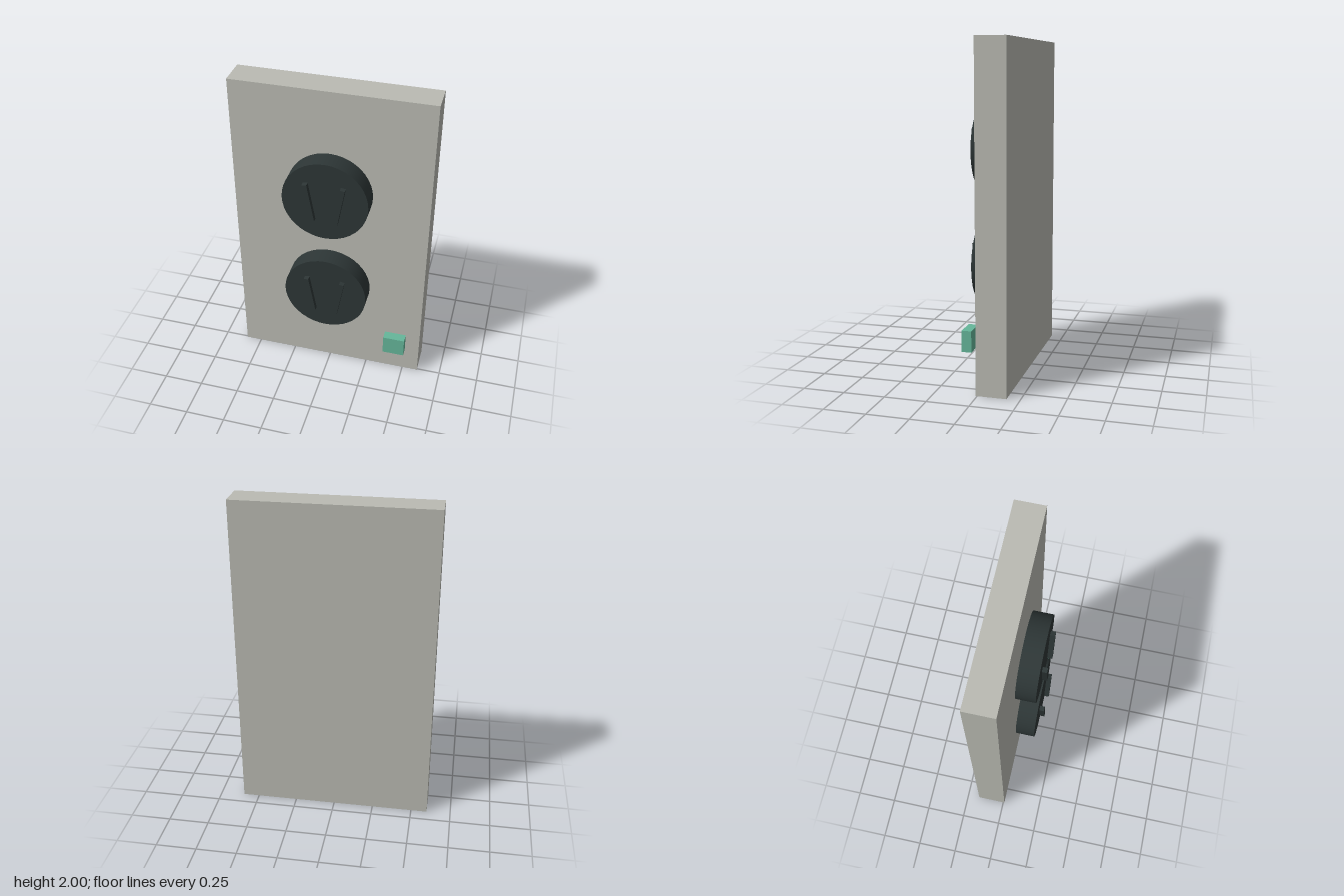
import * as THREE from 'three';

export function createModel() {
  const plateGrey = new THREE.MeshStandardMaterial({ color: 0xbabbb3 });
  plateGrey.name = 'plate grey';
  const darkSlate = new THREE.MeshStandardMaterial({ color: 0x2d3636 });
  darkSlate.name = 'dark slate';
  const lampGreen = new THREE.MeshStandardMaterial({ color: 0x65b69a });
  lampGreen.name = 'lamp green';

  const model = new THREE.Group();
  model.name = 'wallSocket';

  const add = (parent, name, geometry, material, x, y, z) => {
    const mesh = new THREE.Mesh(geometry, material);
    mesh.name = name;
    mesh.position.set(x, y, z);
    parent.add(mesh);
    return mesh;
  };

  // Wall plate
  add(model, 'wallPlate', new THREE.BoxGeometry(1.2, 2, 0.18), plateGrey, 0, 1, -0.082);

  // Two round outlets, each with a pair of splayed contact bars
  const discGeometry = new THREE.CylinderGeometry(0.259, 0.259, 0.12, 40).rotateX(Math.PI / 2);
  const barGeometry = new THREE.BoxGeometry(0.03, 0.25, 0.03);
  [['upperOutlet', 1.355], ['lowerOutlet', 0.655]].forEach(([name, y]) => {
    const outlet = new THREE.Group();
    outlet.name = name;
    outlet.position.y = y;
    add(outlet, 'outletDisc', discGeometry, darkSlate, 0, 0, 0.079);
    for (const side of [-1, 1]) {
      const bar = add(outlet, side > 0 ? 'leftBar' : 'rightBar', barGeometry, darkSlate, side * 0.091, 0, 0.158);
      bar.rotation.z = -side * THREE.MathUtils.degToRad(10);
    }
    model.add(outlet);
  });

  // Indicator lamp, standing clear of the plate
  add(model, 'indicatorLamp', new THREE.BoxGeometry(0.136, 0.126, 0.058), lampGreen, 0.448, 0.285, 0.088);

  return model;
}
